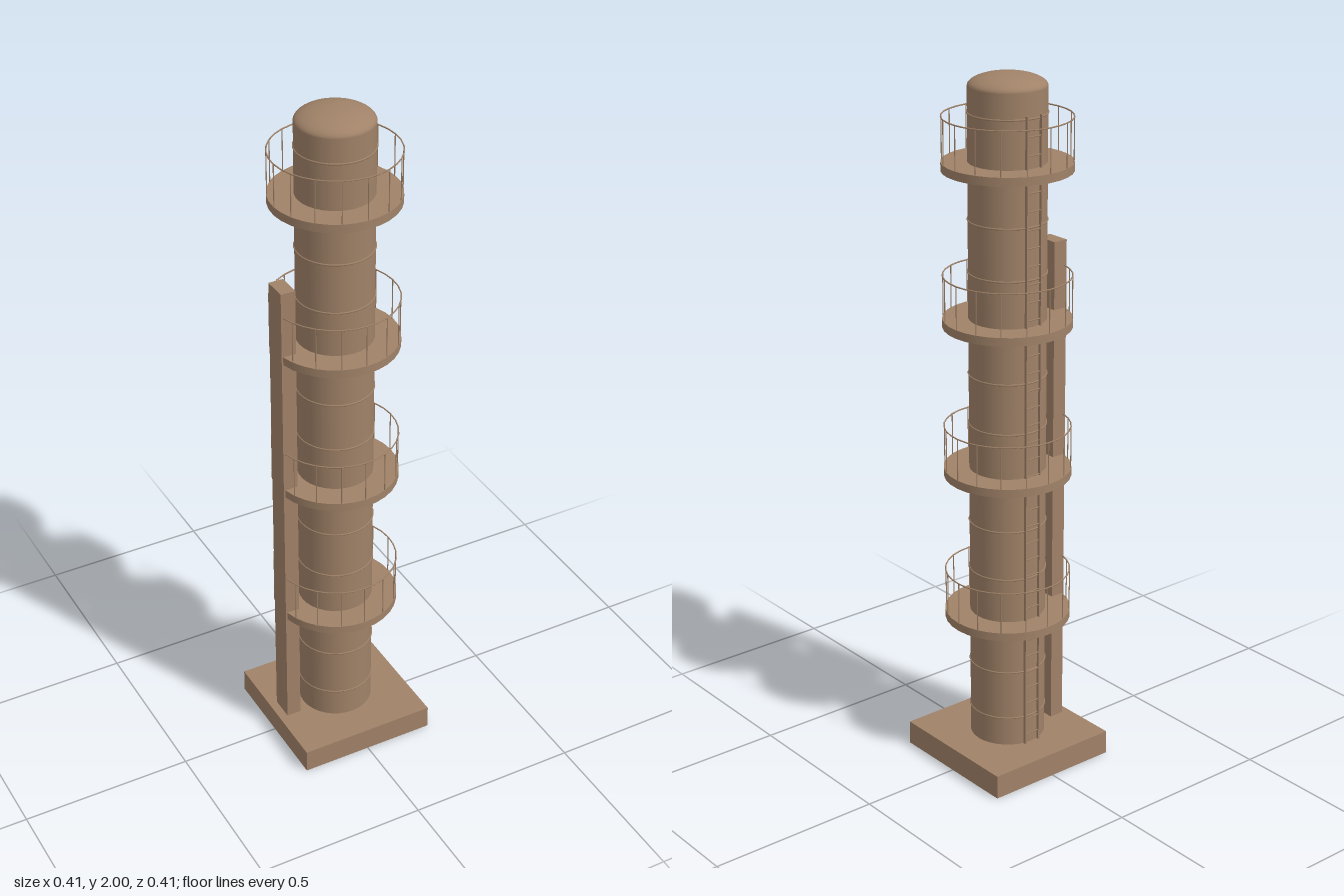
import * as THREE from 'three';

export function createModel() {
  const model = new THREE.Group();
  model.name = 'columnTower';
  const brown = new THREE.MeshStandardMaterial({ color: 0xa08268 });
  brown.name = 'brown';

  const add = (name, geometry, x, y, z, parent = model) => {
    const mesh = new THREE.Mesh(geometry, brown);
    mesh.name = name;
    mesh.position.set(x, y, z);
    parent.add(mesh);
    return mesh;
  };
  // Box given by its minimum and maximum corners
  const addBox = (name, [x0, y0, z0], [x1, y1, z1], parent) =>
    add(name, new THREE.BoxGeometry(x1 - x0, y1 - y0, z1 - z0),
      (x0 + x1) / 2, (y0 + y1) / 2, (z0 + z1) / 2, parent);

  const BASE_TOP = 0.07, RIM = 1.965, RADIUS = 0.107;

  // Square foundation
  addBox('foundation', [-0.204, 0, -0.204], [0.204, BASE_TOP, 0.204]);

  // Column shell and flattened dome
  add('column', new THREE.CylinderGeometry(RADIUS, RADIUS, RIM - BASE_TOP, 32), 0, (RIM + BASE_TOP) / 2, 0);
  const dome = new THREE.SphereGeometry(RADIUS, 32, 12, 0, Math.PI * 2, 0, Math.PI / 2);
  dome.scale(1, (2 - RIM) / RADIUS, 1);
  add('dome', dome, 0, RIM, 0);

  // Weld rings at even heights
  const ringGeometry = new THREE.TorusGeometry(RADIUS, 0.0028, 6, 32).rotateX(Math.PI / 2);
  for (let i = 0; i < 13; i++) add('weldRing', ringGeometry, 0, 0.156 + i * 0.145, 0);

  // Round platforms with railings
  const deckGeometry = new THREE.CylinderGeometry(0.178, 0.178, 0.024, 32);
  const railGeometry = new THREE.TorusGeometry(0.176, 0.002, 6, 32).rotateX(Math.PI / 2);
  const postGeometry = new THREE.CylinderGeometry(0.0015, 0.0015, 0.122, 6);
  for (let i = 0; i < 4; i++) {
    const platform = new THREE.Group();
    platform.name = 'platform';
    platform.position.y = 0.45 + i * 0.434;
    model.add(platform);
    add('deck', deckGeometry, 0, 0, 0, platform);
    add('handrail', railGeometry, 0, 0.133, 0, platform);
    for (let k = 0; k < 16; k++) {
      const a = (k / 16) * Math.PI * 2;
      add('railPost', postGeometry, 0.176 * Math.cos(a), 0.072, 0.176 * Math.sin(a), platform);
    }
  }

  // Vertical duct on the right side with short brackets
  addBox('duct', [-0.179, BASE_TOP, -0.035], [-0.136, 1.523, 0.035]);
  for (let i = 0; i < 3; i++) {
    const y = 0.563 + i * 0.435;
    addBox('ductBracket', [-0.138, y - 0.007, -0.007], [-0.122, y + 0.007, 0.007]);
  }

  // Ladder up the back
  const ladder = new THREE.Group();
  ladder.name = 'ladder';
  model.add(ladder);
  for (const s of [-1, 1]) {
    addBox('ladderRail', [s * 0.024 - 0.002, BASE_TOP, -0.113], [s * 0.024 + 0.002, 1.905, -0.104], ladder);
  }
  const rungGeometry = new THREE.CylinderGeometry(0.0018, 0.0018, 0.048, 6).rotateZ(Math.PI / 2);
  for (let y = 0.1; y < 1.9; y += 0.05) add('ladderRung', rungGeometry, 0, y, -0.11, ladder);

  return model;
}
